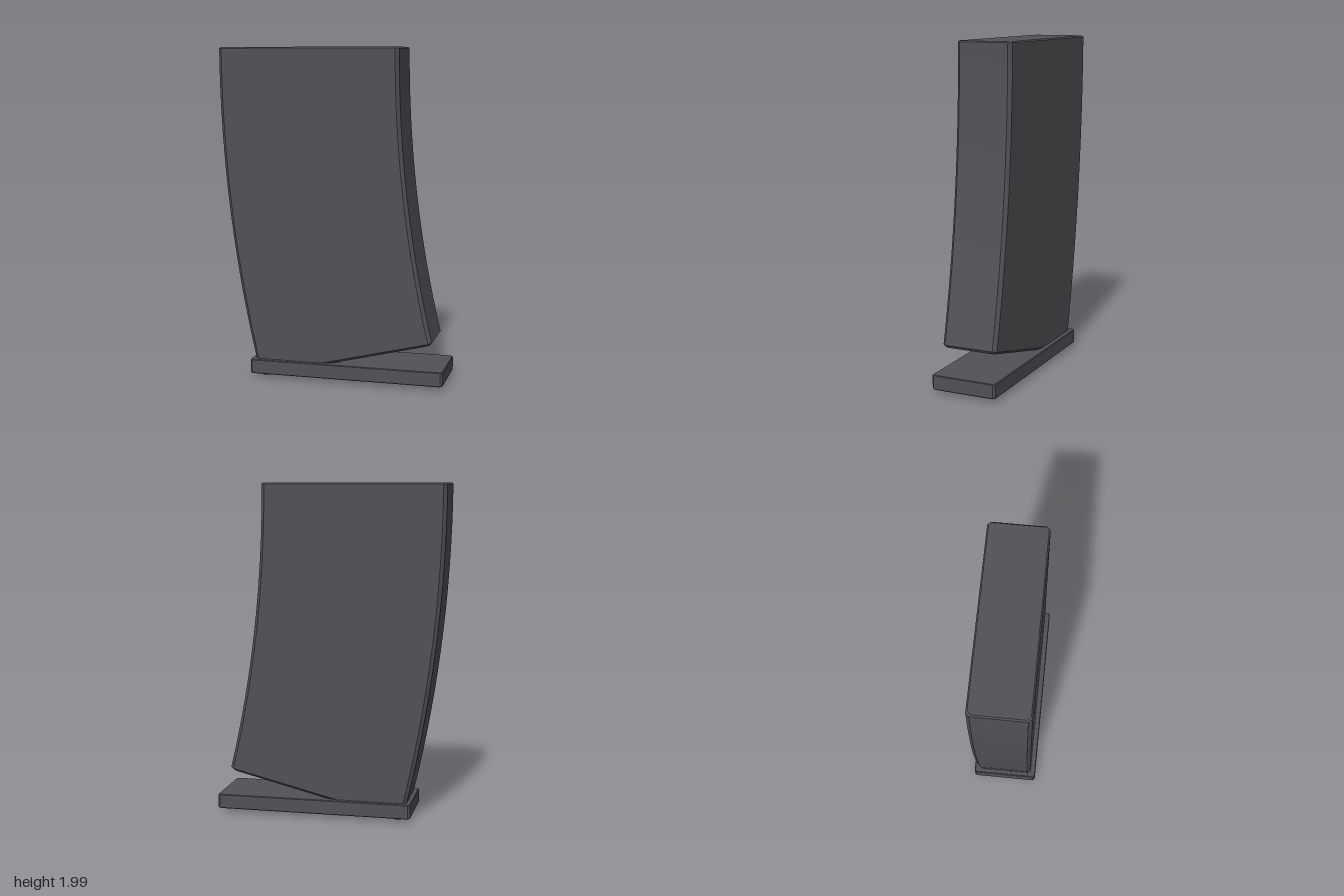
import * as THREE from 'three';
import { toCreasedNormals } from 'three/addons/utils/BufferGeometryUtils.js';

// Rectangle outline with cut corners, counter-clockwise
function cutRect(halfW, halfD, cut) {
  return [
    [halfW, -halfD + cut], [halfW, halfD - cut], [halfW - cut, halfD], [-halfW + cut, halfD],
    [-halfW, halfD - cut], [-halfW, -halfD + cut], [-halfW + cut, -halfD], [halfW - cut, -halfD],
  ];
}

// Closed solid from equal-sized loops of points, listed from top to bottom
function loft(rings) {
  const n = rings[0].length, last = (rings.length - 1) * n, index = [];
  for (let r = 0; r < rings.length - 1; r++) {
    for (let i = 0; i < n; i++) {
      const a = r * n + i, b = r * n + (i + 1) % n;
      index.push(a, b, a + n, b, b + n, a + n);
    }
  }
  for (let i = 1; i < n - 1; i++) {
    index.push(0, i + 1, i);
    index.push(last, last + i, last + i + 1);
  }
  const geometry = new THREE.BufferGeometry();
  geometry.setAttribute('position', new THREE.Float32BufferAttribute(rings.flat(2), 3));
  geometry.setIndex(index);
  return toCreasedNormals(geometry, 0.3);
}

// Section swept along a circular arc that leans towards +x at the bottom
function curvedBody() {
  const centreX = 7.6, radius = 7.745, sweep = 0.2425, steps = 16;
  const ring = (angle, inset) => cutRect(0.545 - inset, 0.17 - inset, 0.02).map(([u, z]) => [
    centreX - (radius - u) * Math.cos(angle), 2 - (radius - u) * Math.sin(angle), z,
  ]);
  const rings = [ring(0, 0.008)];
  const start = 0.008 / radius, end = sweep - 0.015 / radius;
  for (let i = 0; i <= steps; i++) rings.push(ring(start + (end - start) * i / steps, 0));
  rings.push(ring(sweep, 0.015));
  return loft(rings);
}

// Flat plate with cut corners and finely bevelled rims
function plate() {
  const ring = (y, inset) => cutRect(0.59 - inset, 0.2 - inset, 0.013).map(([x, z]) => [x + 0.09, y, z]);
  return loft([ring(0.122, 0.004), ring(0.118, 0), ring(0.039, 0), ring(0.035, 0.004)]);
}

export function createModel() {
  const group = new THREE.Group();
  const darkGrey = new THREE.MeshStandardMaterial({ color: 0x525156 });
  darkGrey.name = 'darkGrey';

  const body = new THREE.Mesh(curvedBody(), darkGrey);
  body.name = 'curvedBody';
  const base = new THREE.Mesh(plate(), darkGrey);
  base.name = 'basePlate';

  group.add(body, base);
  return group;
}
